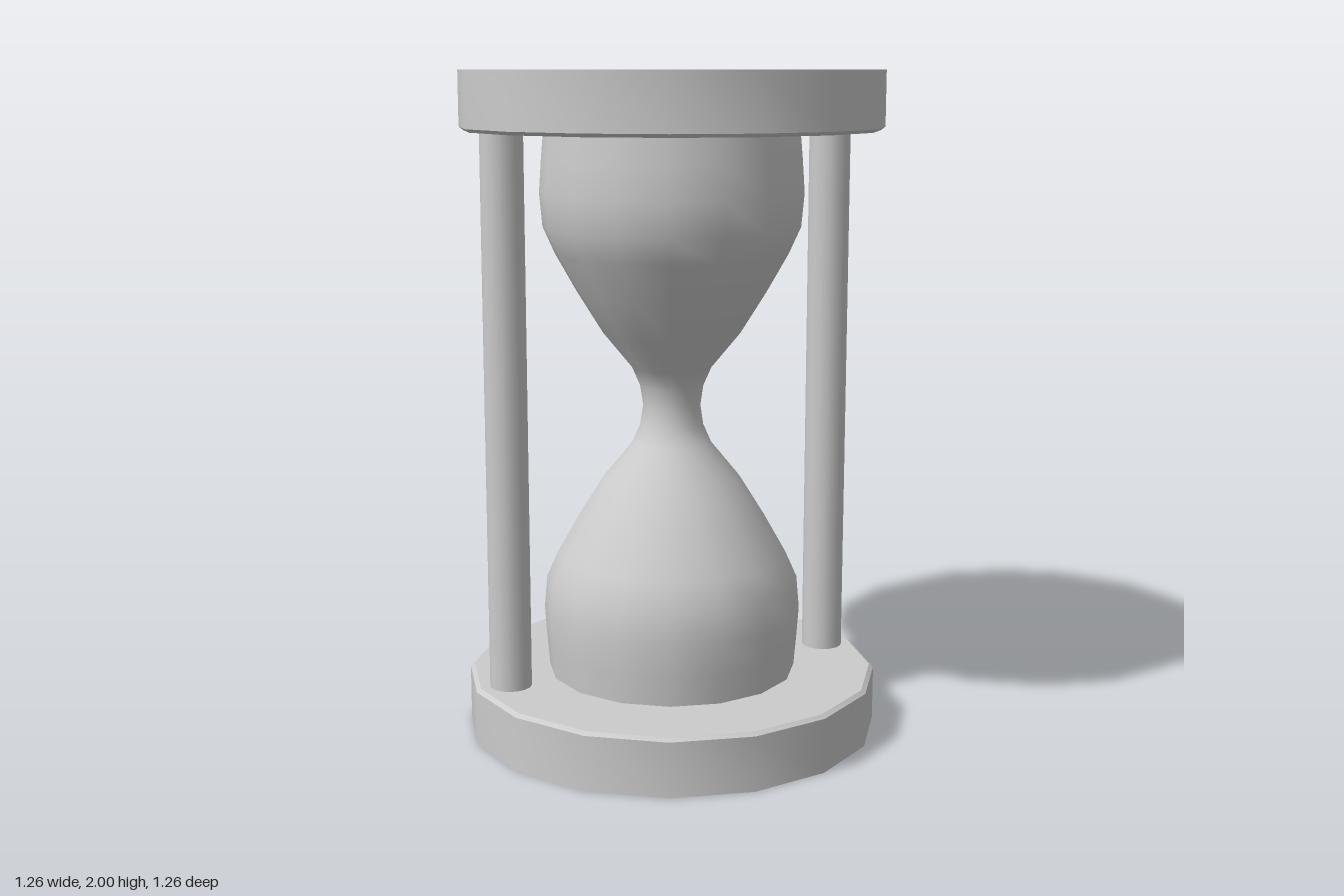
import * as THREE from 'three';
import { toCreasedNormals } from 'three/addons/utils/BufferGeometryUtils.js';

const SIDES = 16;
const material = new THREE.MeshStandardMaterial({ color: 0xcccccc });
const glassMaterial = new THREE.MeshStandardMaterial({ color: 0xcccccc, side: THREE.DoubleSide });

const points = (list) => list.map(([r, y]) => new THREE.Vector2(r, y));

function addMesh(parent, name, geometry, mat = material) {
  const mesh = new THREE.Mesh(geometry, mat);
  mesh.name = name;
  parent.add(mesh);
  return mesh;
}

export function createModel() {
  const group = new THREE.Group();
  group.name = 'hourglass';

  // End plates: discs with a small chamfer on the side facing the glass
  const plate = toCreasedNormals(
    new THREE.LatheGeometry(points([[0, 0], [0.63, 0], [0.63, 0.165], [0.617, 0.175], [0, 0.175]]), SIDES),
    0.5
  );
  addMesh(group, 'bottomPlate', plate);
  const top = addMesh(group, 'topPlate', plate);
  top.rotation.x = Math.PI;
  top.position.y = 2;

  // Glass: lower half profile mirrored about the neck
  const lower = [
    [0.38, 0.17], [0.388, 0.26], [0.395, 0.36], [0.386, 0.46], [0.35, 0.54],
    [0.285, 0.655], [0.207, 0.78], [0.12, 0.885], [0.096, 0.94],
  ];
  const upper = lower.map(([r, y]) => [r, 2 - y]).reverse();
  const profile = points([...lower, [0.087, 1], ...upper]);
  addMesh(group, 'glass', new THREE.LatheGeometry(profile, SIDES), glassMaterial);

  // Two posts, left and right of the glass
  for (const [name, side] of [['leftPost', 1], ['rightPost', -1]]) {
    const post = addMesh(group, name, new THREE.CylinderGeometry(0.063, 0.063, 1.67, SIDES));
    post.position.set(side * 0.523, 1, 0);
  }

  return group;
}
